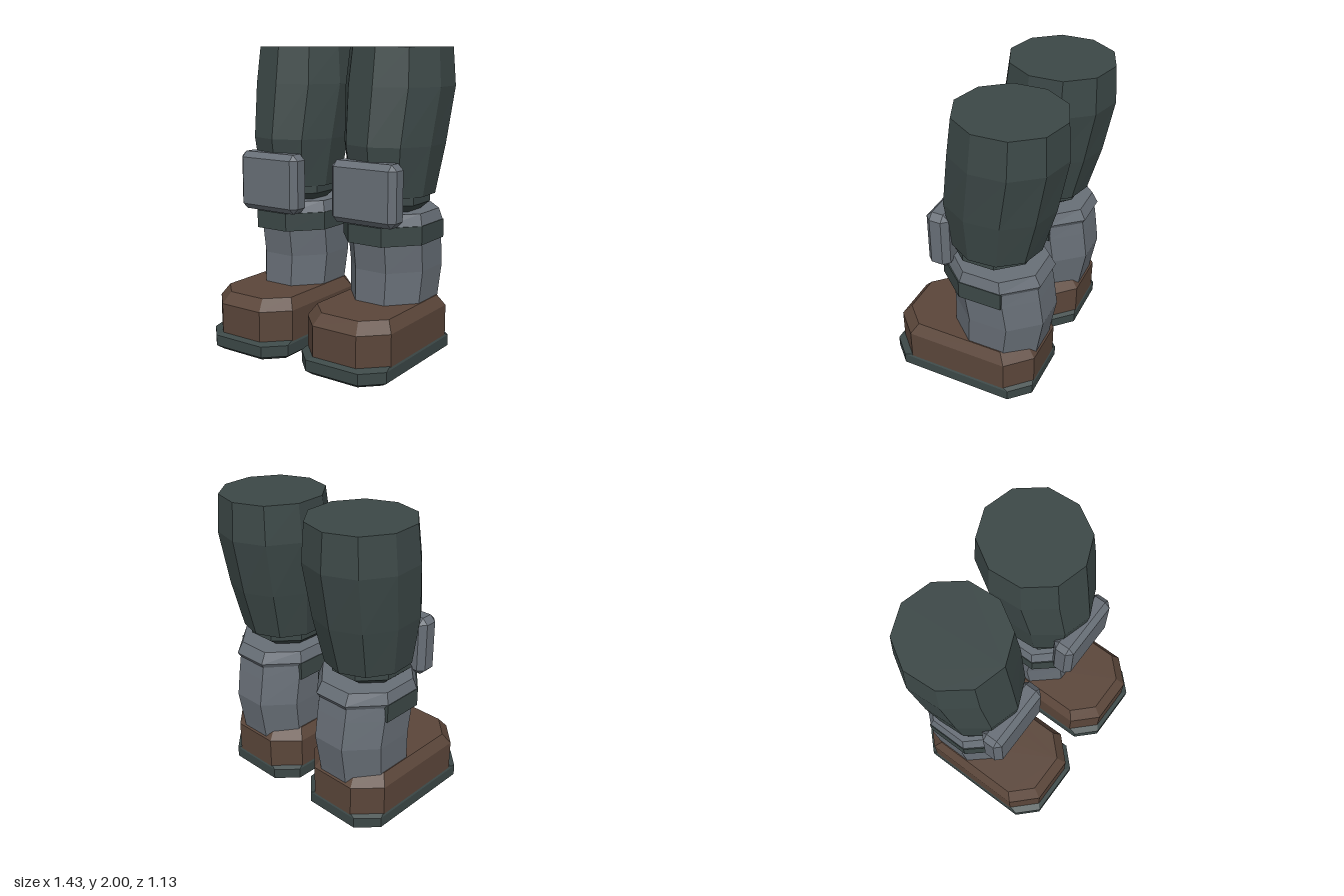
import * as THREE from 'three';
import { ConvexGeometry } from 'three/addons/geometries/ConvexGeometry.js';

const mat = (name, color) => {
  const m = new THREE.MeshStandardMaterial({ color });
  m.name = name;
  return m;
};

// Points of an n-sided elliptical cross-section; shift is in degrees
function oval(y, rx, rz, cz, sides, shift, count = sides) {
  const pts = [];
  for (let i = 0; i < count; i++) {
    const a = THREE.MathUtils.degToRad(shift + (i * 360) / sides);
    pts.push([rx * Math.sin(a), y, cz + rz * Math.cos(a)]);
  }
  return pts;
}

// Rectangle with cut corners, for the footwear
function cutRect(y, hx, front, back, cut) {
  return [
    [hx - cut, y, front], [hx, y, front - cut], [hx, y, back + cut], [hx - cut, y, back],
    [cut - hx, y, back], [-hx, y, back + cut], [-hx, y, front - cut], [cut - hx, y, front],
  ];
}

// Faceted skin through cross-sections ordered from bottom to top
function loft(rings, bottomCap = true, topCap = true) {
  const pos = [];
  const n = rings[0].length;
  const tri = (...p) => p.forEach((v) => pos.push(...v));
  for (let r = 0; r < rings.length - 1; r++) {
    const a = rings[r], b = rings[r + 1];
    for (let i = 0; i < n; i++) {
      const j = (i + 1) % n;
      tri(a[i], a[j], b[j]);
      tri(a[i], b[j], b[i]);
    }
  }
  const lo = rings[0], hi = rings[rings.length - 1];
  for (let i = 1; i < n - 1; i++) {
    if (bottomCap) tri(lo[0], lo[i + 1], lo[i]);
    if (topCap) tri(hi[0], hi[i], hi[i + 1]);
  }
  const g = new THREE.BufferGeometry();
  g.setAttribute('position', new THREE.Float32BufferAttribute(pos, 3));
  g.computeVertexNormals();
  return g;
}

// Box with flat bevels on every edge
function bevelBox(hx, hy, hz, c) {
  const pts = [];
  for (const sx of [-1, 1]) for (const sy of [-1, 1]) for (const sz of [-1, 1]) {
    pts.push(
      new THREE.Vector3(sx * hx, sy * (hy - c), sz * (hz - c)),
      new THREE.Vector3(sx * (hx - c), sy * hy, sz * (hz - c)),
      new THREE.Vector3(sx * (hx - c), sy * (hy - c), sz * hz),
    );
  }
  return new ConvexGeometry(pts);
}

export function createModel() {
  const cloth = mat('dark green cloth', 0x3c4847);
  const metal = mat('grey metal', 0x686f77);
  const leather = mat('brown leather', 0x5b463a);

  // Thigh: leaning ten-sided trouser leg
  const thigh = loft([
    [1.08, 0.273, 0.295, -0.12],
    [1.4, 0.322, 0.36, -0.14],
    [1.76, 0.353, 0.368, -0.196],
    [2, 0.33, 0.343, -0.204],
  ].map(([y, rx, rz, cz]) => oval(y, rx, rz, cz, 10, 4)));

  // Octagonal sections with a flat face in front
  const octs = (list) => loft(list.map(([y, rx, rz, cz]) => oval(y, rx, rz, cz, 8, 22.5)));
  const knee = octs([
    [0.97, 0.18, 0.19, -0.1],
    [1.03, 0.25, 0.275, -0.1],
    [1.09, 0.25, 0.275, -0.1],
  ]);
  const shin = octs([
    [0.3, 0.277, 0.315, -0.15],
    [0.38, 0.282, 0.322, -0.155],
    [0.6, 0.297, 0.336, -0.178],
    [0.79, 0.301, 0.335, -0.152],
    [0.89, 0.298, 0.325, -0.145],
  ]);
  const cuff = octs([
    [0.875, 0.3, 0.335, -0.137],
    [0.907, 0.315, 0.358, -0.135],
    [0.98, 0.293, 0.315, -0.135],
  ]);

  // Strap: covers the front and sides only, its back is buried in the shin
  const strap = loft([0.787, 0.907].map((y) => oval(y, 0.32, 0.371, -0.135, 8, -112.5, 6)));

  const kneePad = bevelBox(0.238, 0.197, 0.076, 0.038);
  kneePad.translate(0, 1.112, 0.184);

  // Boot upper, and the sole rim with the leather underside showing inside it
  const boot = loft([
    cutRect(0.1, 0.312, 0.535, -0.455, 0.152),
    cutRect(0.32, 0.312, 0.535, -0.455, 0.152),
    cutRect(0.392, 0.268, 0.473, -0.395, 0.133),
  ]);
  const bottom = cutRect(0, 0.277, 0.525, -0.42, 0.11);
  const sole = loft([
    bottom,
    cutRect(0.03, 0.318, 0.565, -0.46, 0.124),
    cutRect(0.102, 0.318, 0.565, -0.46, 0.124),
    cutRect(0.12, 0.308, 0.535, -0.45, 0.15),
  ], false);
  const underside = loft([bottom, cutRect(0.008, 0.277, 0.525, -0.42, 0.11)]);

  const parts = [
    ['Thigh', thigh, cloth], ['KneeJoint', knee, cloth], ['Shin', shin, metal],
    ['Cuff', cuff, metal], ['Strap', strap, cloth], ['KneePad', kneePad, metal],
    ['Boot', boot, leather], ['Sole', sole, cloth], ['SoleUnderside', underside, leather],
  ];

  // Both legs are the same shape, side by side
  const model = new THREE.Group();
  model.name = 'legs';
  for (const [side, x] of [['left', 0.374], ['right', -0.375]]) {
    const leg = new THREE.Group();
    leg.name = side + 'Leg';
    leg.position.x = x;
    for (const [name, geometry, material] of parts) {
      const mesh = new THREE.Mesh(geometry, material);
      mesh.name = side + name;
      leg.add(mesh);
    }
    model.add(leg);
  }
  return model;
}
